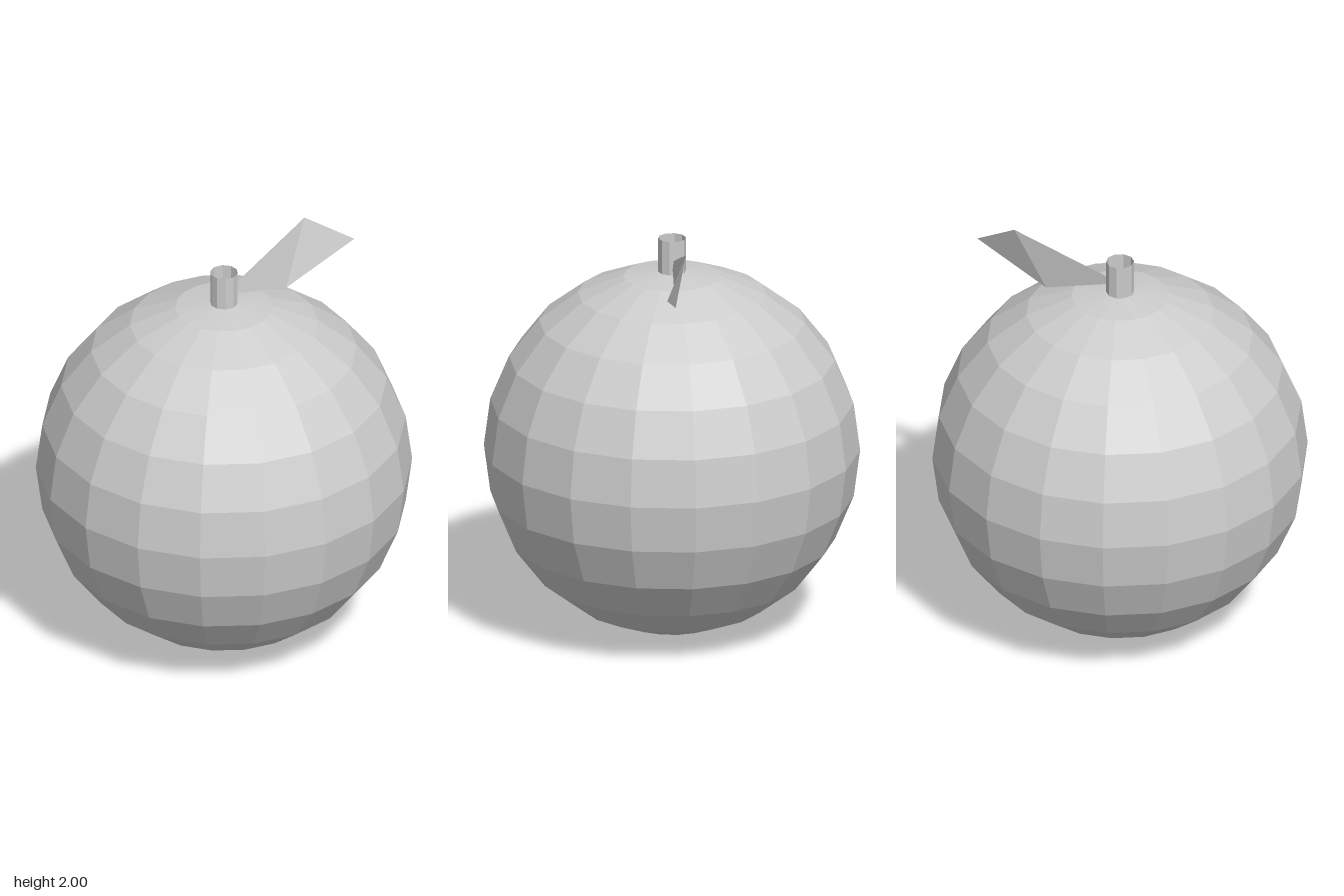
import * as THREE from 'three';

export function createModel() {
  const group = new THREE.Group();
  const grey = new THREE.MeshStandardMaterial({ color: 0xcccccc, flatShading: true, side: THREE.DoubleSide });
  grey.name = 'lightGrey';

  const add = (name, geometry, y = 0) => {
    const mesh = new THREE.Mesh(geometry, grey);
    mesh.name = name;
    mesh.position.y = y;
    group.add(mesh);
  };

  // Faceted round fruit, with a corner pointing along +x
  const radius = 0.877;
  add('fruit', new THREE.SphereGeometry(radius, 18, 12), radius);

  // Open-topped hollow stem
  add('stem', new THREE.CylinderGeometry(0.065, 0.065, 0.17, 10, 1, true), 1.825);

  // Leaf of two triangles, folded across its widest line
  const base = [0, 1.79, 0];
  const upper = [0.51, 2, 0];
  const tip = [0.72, 1.85, 0.115];
  const lower = [0.365, 1.69, 0.03];
  const leaf = new THREE.BufferGeometry();
  leaf.setAttribute('position', new THREE.Float32BufferAttribute(
    [base, lower, upper, lower, tip, upper].flat(), 3));
  leaf.computeVertexNormals();
  add('leaf', leaf);

  return group;
}
